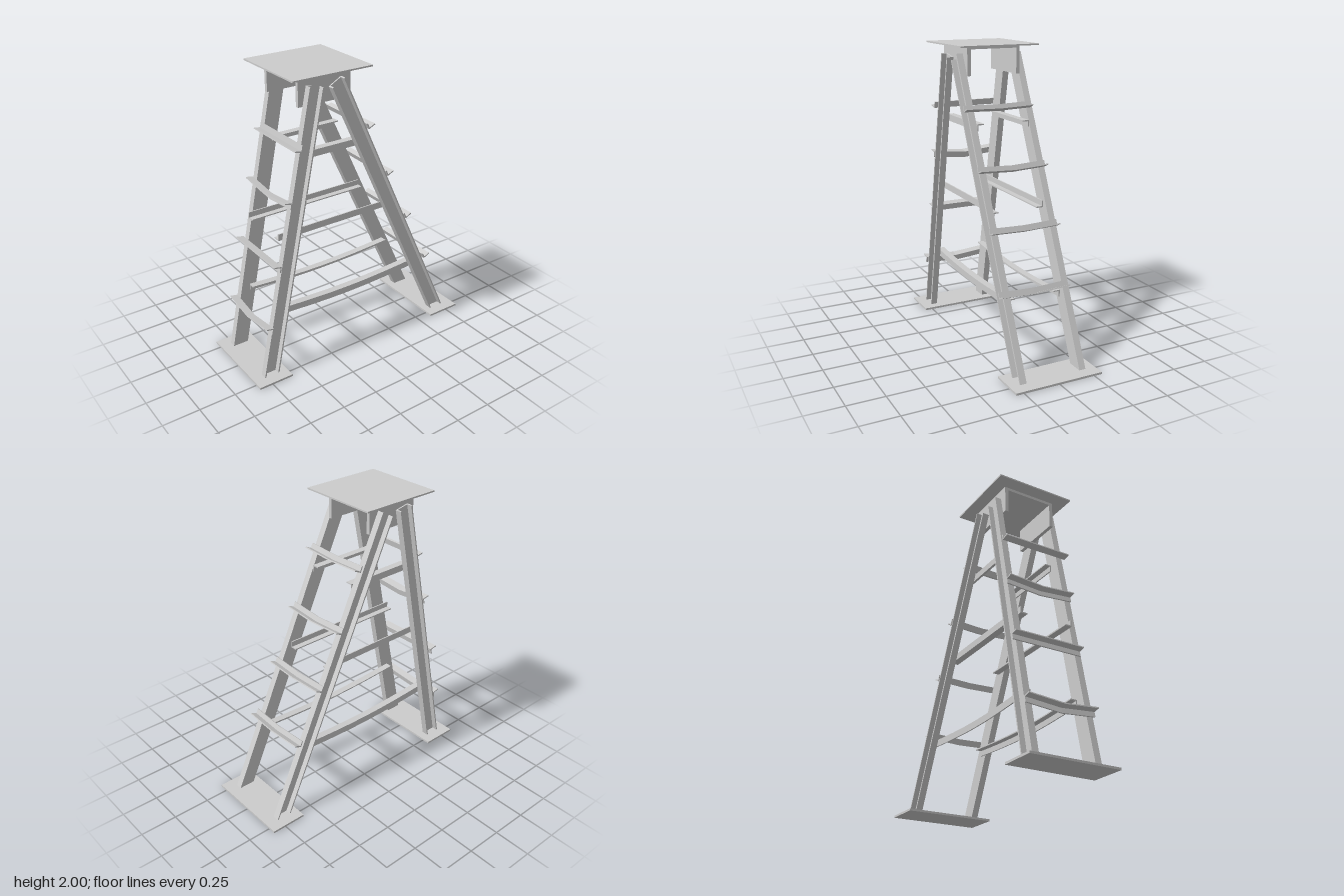
import * as THREE from 'three';

const material = new THREE.MeshStandardMaterial({ color: 0xcccccc, flatShading: true });

// Sweeps a 2D section; map(u, v, t) places each corner, with t from 0 to 1 along the bar.
function sweep(name, section, steps, map) {
  const shape = new THREE.Shape(section.map(([u, v]) => new THREE.Vector2(u, v)));
  const geo = new THREE.ExtrudeGeometry(shape, { depth: 1, steps, bevelEnabled: false });
  const p = geo.attributes.position;
  for (let i = 0; i < p.count; i++) p.setXYZ(i, ...map(p.getX(i), p.getY(i), p.getZ(i)));
  // Turn the faces outward when the mapping mirrors them
  const a = new THREE.Vector3(), b = new THREE.Vector3(), c = new THREE.Vector3();
  let volume = 0;
  for (let i = 0; i < p.count; i += 3) {
    a.fromBufferAttribute(p, i);
    b.fromBufferAttribute(p, i + 1);
    c.fromBufferAttribute(p, i + 2);
    volume += a.dot(b.cross(c));
  }
  if (volume < 0) {
    for (let i = 0; i < p.count; i += 3) {
      b.fromBufferAttribute(p, i + 1);
      c.fromBufferAttribute(p, i + 2);
      p.setXYZ(i + 1, c.x, c.y, c.z);
      p.setXYZ(i + 2, b.x, b.y, b.z);
    }
  }
  geo.computeVertexNormals();
  const mesh = new THREE.Mesh(geo, material);
  mesh.name = name;
  return mesh;
}

function box(name, x0, x1, y0, y1, z0, z1) {
  const mesh = new THREE.Mesh(new THREE.BoxGeometry(x1 - x0, y1 - y0, z1 - z0), material);
  mesh.position.set((x0 + x1) / 2, (y0 + y1) / 2, (z0 + z1) / 2);
  mesh.name = name;
  return mesh;
}

// L section with its corner at the origin
const angle = (w, h, t = 0.008) => [[0, 0], [w, 0], [w, t], [t, t], [t, h], [0, h]];

// C section: u across the leg (web at 0), v from inner edge 0 to outer edge 1
const channel = [[0, 0], [0.045, 0], [0.045, 0.09], [0.009, 0.09],
  [0.009, 0.91], [0.045, 0.91], [0.045, 1], [0, 1]];

// Leg edges as [z, y] at foot and head
const sides = [
  {
    name: 'front',
    inner: [[0.66, 0.01], [0.28, 1.905]],
    outer: [[0.77, 0.01], [0.38, 1.925]],
    // y, left end, right end, flange direction, sag, bow
    rungs: [
      [0.385, -0.235, 0.25, -1, 0.024, 0.008],
      [0.803, -0.26, 0.23, -1, 0, 0],
      [1.225, -0.24, 0.24, -1, 0.022, 0.004],
      [1.547, -0.225, 0.26, 1, 0, 0],
    ],
  },
  {
    name: 'back',
    inner: [[-0.655, 0.01], [0.22, 1.89]],
    outer: [[-0.765, 0.01], [0.13, 1.94]],
    rungs: [
      [0.497, -0.22, 0.265, 1, 0.008, 0.006],
      [0.857, -0.24, 0.245, 1, 0.006, 0.006],
      [1.217, -0.24, 0.245, 1, 0.01, 0.006],
      [1.585, -0.22, 0.26, 1, 0.006, 0.006],
    ],
  },
];

export function createModel() {
  const model = new THREE.Group();
  model.name = 'stepladder';

  for (const { name, inner, outer, rungs } of sides) {
    const lerp = THREE.MathUtils.lerp;

    // Leaning channel legs, open to the outside
    for (const s of [1, -1]) {
      model.add(sweep(name + (s > 0 ? 'LeftLeg' : 'RightLeg'), channel, 1, (u, v, t) => [
        s * (0.19 + u),
        lerp(lerp(inner[0][1], outer[0][1], v), lerp(inner[1][1], outer[1][1], v), t),
        lerp(lerp(inner[0][0], outer[0][0], v), lerp(inner[1][0], outer[1][0], v), t),
      ]));
    }

    // Angle rungs seated on the outer faces of the legs, some bent at the middle
    const dz = outer[1][0] - outer[0][0], dy = outer[1][1] - outer[0][1];
    const len = Math.hypot(dz, dy), sz = dz / len, sy = dy / len;
    const out = name === 'front' ? 1 : -1;
    const nz = out * sy, ny = -out * sz;
    rungs.forEach(([y, x0, x1, dir, sag, bow], i) => {
      const z = outer[0][0] + (y - outer[0][1]) * dz / dy;
      model.add(sweep(name + 'Rung' + (i + 1), angle(0.053, 0.042), 8, (u, v, t) => {
        const bend = 1 - Math.abs(2 * t - 1);
        return [
          lerp(x0, x1, t),
          y + u * ny + dir * v * sy - sag * bend,
          z + u * nz + dir * v * sz + out * bow * bend,
        ];
      }));
    });

    // Foot pad
    const z0 = out > 0 ? 0.6 : -0.845;
    model.add(box(name + 'FootPad', -0.305, 0.305, 0, 0.014, z0, z0 + 0.245));
  }

  // Side braces: height of the corner, flange direction, z range, sag
  const braces = [
    ['lowerBrace', 0.47, -1, 0.62, -0.51, 0.025],
    ['middleBrace', 0.965, 1, 0.6, -0.28, 0],
    ['upperBrace', 1.51, -1, 0.4, -0.08, 0],
  ];
  for (const s of [1, -1]) {
    for (const [name, y, dir, z0, z1, sag] of braces) {
      model.add(sweep((s > 0 ? 'left_' : 'right_') + name, angle(0.048, 0.045), 8, (u, v, t) => [
        s * (0.188 - u),
        y + dir * v - sag * Math.sin(Math.PI * t),
        z0 + (z1 - z0) * t,
      ]));
    }
    // Bracket cheeks between the leg heads
    model.add(box(s > 0 ? 'leftBracketCheek' : 'rightBracketCheek',
      s > 0 ? 0.165 : -0.19, s > 0 ? 0.19 : -0.165, 1.8, 1.97, 0.06, 0.435));
  }

  // Bracket crown and top platform
  model.add(box('bracketCrown', -0.19, 0.19, 1.97, 1.99, 0.06, 0.435));
  model.add(box('topPlatform', -0.28, 0.28, 1.99, 2, -0.04, 0.525));
  return model;
}
